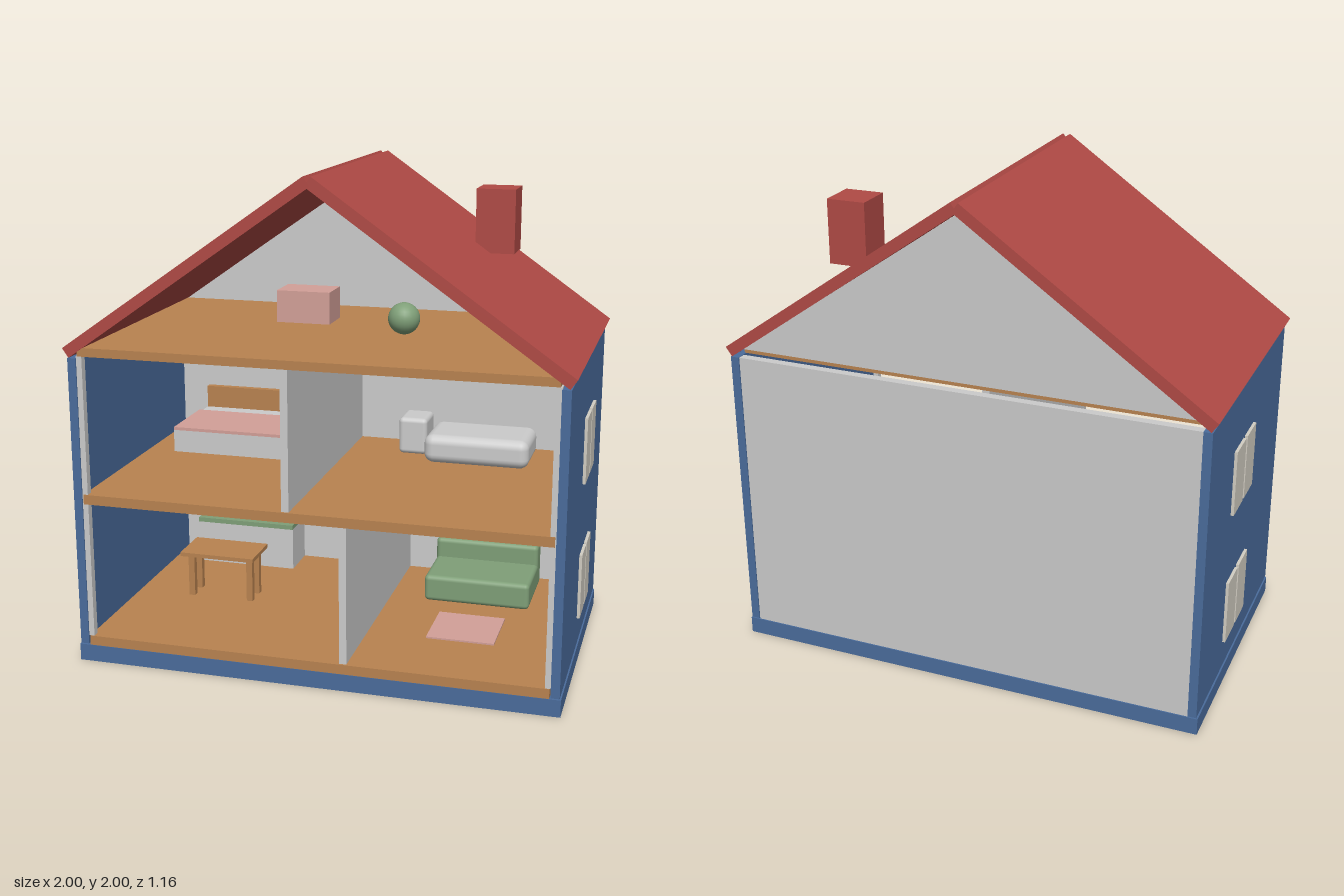
import * as THREE from 'three';
import { RoundedBoxGeometry } from 'three/addons/geometries/RoundedBoxGeometry.js';

const material = (color) => new THREE.MeshStandardMaterial({ color });

export function createModel() {
  const house = new THREE.Group();
  house.name = 'dollhouse';
  const blue = material(0x4a6c9c), red = material(0xb04a45), wood = material(0xb98350);
  const grey = material(0xcccccc), cream = material(0xd2cdc2);
  const pink = material(0xd3a098), green = material(0x7f9f78);

  const add = (parent, name, geometry, mat) => {
    const mesh = new THREE.Mesh(geometry, mat);
    mesh.name = name;
    parent.add(mesh);
    return mesh;
  };
  // Box given by its extents on each axis; a radius rounds its edges
  const box = (parent, name, mat, [x0, x1], [y0, y1], [z0, z1], radius = 0) => {
    const size = [x1 - x0, y1 - y0, z1 - z0];
    const geometry = radius
      ? new RoundedBoxGeometry(...size, 3, radius)
      : new THREE.BoxGeometry(...size);
    const mesh = add(parent, name, geometry, mat);
    mesh.position.set((x0 + x1) / 2, (y0 + y1) / 2, (z0 + z1) / 2);
    return mesh;
  };
  const group = (name) => {
    const g = new THREE.Group();
    g.name = name;
    house.add(g);
    return g;
  };

  // Base, floors and back wall
  box(house, 'base', blue, [-0.985, 0.985], [0, 0.07], [-0.58, 0.58]);
  for (const [name, y0, y1] of [['groundFloor', 0.07, 0.11], ['upperFloor', 0.675, 0.715], ['atticFloor', 1.28, 1.315]])
    box(house, name, wood, [-0.94, 0.94], [y0, y1], [-0.54, 0.578]);
  box(house, 'backWall', grey, [-0.945, 0.945], [0.07, 1.27], [-0.575, -0.54]);

  // Back gable
  const triangle = new THREE.Shape([
    new THREE.Vector2(-0.925, 1.31), new THREE.Vector2(0.925, 1.31), new THREE.Vector2(0, 1.952),
  ]);
  add(house, 'backGable', new THREE.ExtrudeGeometry(triangle, { depth: 0.035, bevelEnabled: false }), grey)
    .position.z = -0.575;

  // Room dividers
  box(house, 'lowerPartition', grey, [0.115, 0.145], [0.11, 0.675], [-0.54, 0.57]);
  box(house, 'upperPartition', grey, [-0.115, -0.085], [0.715, 1.28], [-0.54, 0.57]);

  // Side walls, front posts, windows and roof slopes, mirrored
  const slope = Math.atan2(0.69, 0.985), length = Math.hypot(0.69, 0.985), thick = 0.045;
  for (const s of [-1, 1]) {
    const side = s > 0 ? 'left' : 'right';
    const span = (a, b) => (s > 0 ? [a, b] : [-b, -a]);
    box(house, side + 'Wall', blue, span(0.945, 0.98), [0.075, 1.272], [-0.58, 0.58]);
    box(house, side + 'FrontPost', grey, span(0.922, 0.947), [0.11, 1.28], [0.545, 0.575]);
    for (const y of [0.2, 0.77])
      for (const z of [-0.215, -0.055])
        box(house, side + 'WindowPane', cream, span(0.975, 0.992), [y, y + 0.27], [z, z + 0.14]);
    const roof = add(house, side + 'RoofSlope', new THREE.BoxGeometry(length, thick, 1.16), red);
    roof.position.set(
      s * (0.015 + 0.985 / 2 - Math.sin(slope) * thick / 2),
      2 - 0.69 / 2 - Math.cos(slope) * thick / 2, 0);
    roof.rotation.z = -s * slope;
  }
  box(house, 'chimney', red, [0.48, 0.64], [1.63, 1.89], [-0.35, -0.19]);

  // Kitchen counter
  const counter = group('kitchenCounter');
  box(counter, 'cabinet', grey, [-0.82, -0.365], [0.11, 0.3], [-0.54, -0.36]);
  box(counter, 'worktop', green, [-0.82, -0.365], [0.3, 0.32], [-0.54, -0.355]);
  box(counter, 'splashback', grey, [-0.82, -0.365], [0.32, 0.375], [-0.54, -0.51]);

  // Dining table
  const table = group('diningTable');
  box(table, 'tableTop', wood, [-0.73, -0.4], [0.303, 0.32], [-0.1, 0.1]);
  for (const x of [-0.71, -0.445])
    for (const z of [-0.06, 0.03])
      box(table, 'tableLeg', wood, [x, x + 0.027], [0.11, 0.304], [z, z + 0.027]);

  // Sofa and rug
  const sofa = group('sofa');
  box(sofa, 'sofaSeat', green, [0.295, 0.75], [0.11, 0.225], [-0.45, -0.15], 0.02);
  box(sofa, 'sofaBack', green, [0.295, 0.75], [0.11, 0.31], [-0.5, -0.4], 0.02);
  box(house, 'rug', pink, [0.39, 0.67], [0.11, 0.117], [-0.03, 0.24]);

  // Bed
  const bed = group('bed');
  box(bed, 'bedFrame', grey, [-0.82, -0.3], [0.715, 0.812], [-0.51, -0.09]);
  box(bed, 'blanket', pink, [-0.82, -0.3], [0.812, 0.825], [-0.4, -0.09]);
  box(bed, 'headboard', wood, [-0.82, -0.3], [0.715, 0.91], [-0.54, -0.51]);

  // Bathroom
  box(house, 'bathtub', grey, [0.27, 0.72], [0.715, 0.838], [-0.48, -0.2], 0.04);
  box(house, 'toilet', grey, [0.135, 0.26], [0.715, 0.875], [-0.48, -0.32], 0.02);

  // Attic toys
  box(house, 'toyChest', pink, [-0.345, -0.115], [1.315, 1.45], [-0.27, -0.11]);
  add(house, 'ball', new THREE.SphereGeometry(0.065, 24, 16), green).position.set(0.23, 1.382, 0);

  return house;
}
